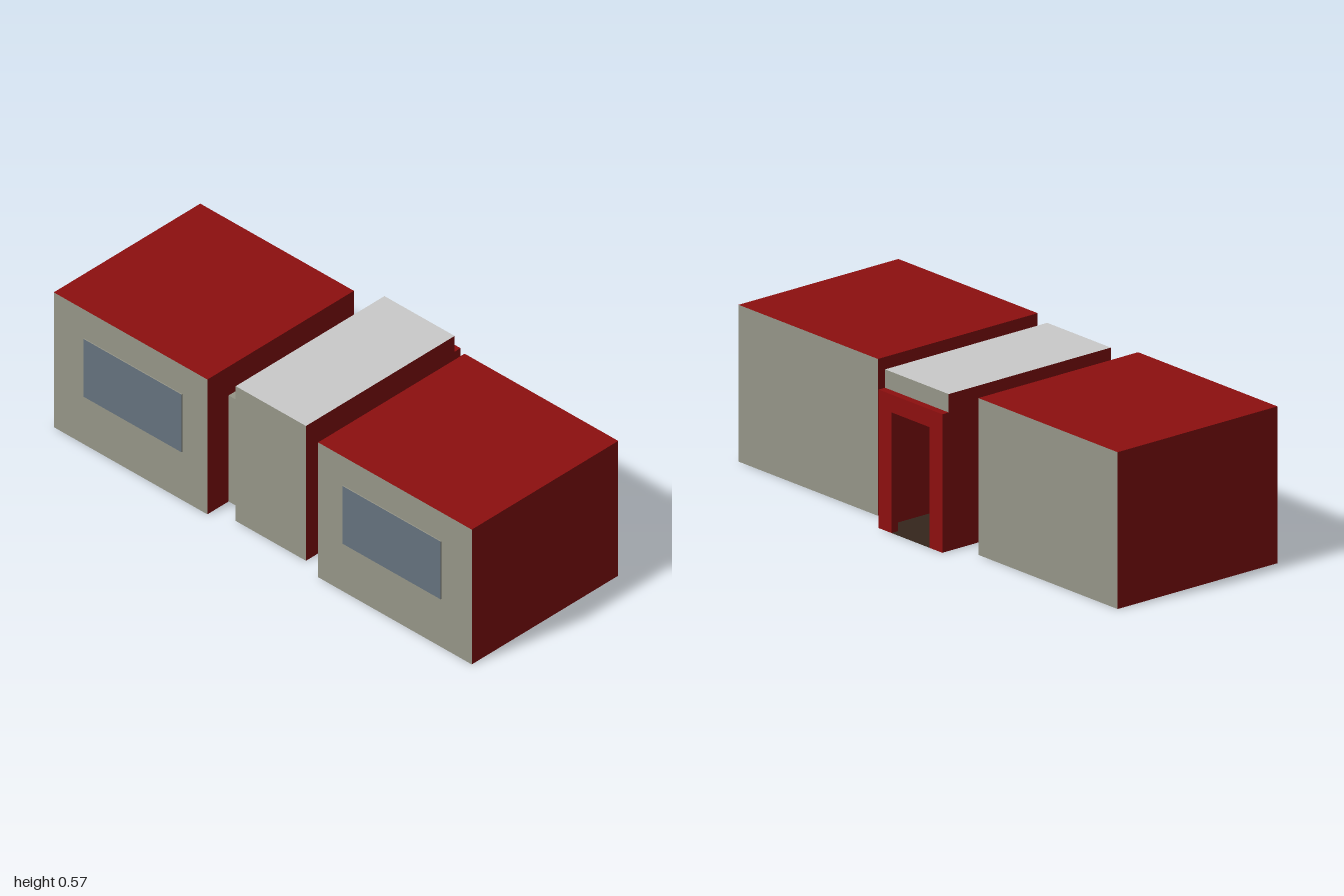
import * as THREE from 'three';

const mat = (color, side = THREE.FrontSide) => new THREE.MeshStandardMaterial({ color, side });
const red = mat(0x8d0f0f), stone = mat(0x969688), glass = mat(0x65727e), dark = mat(0x35261c);
const redThin = mat(0x8d0f0f, THREE.DoubleSide);
const stoneThin = mat(0x969688, THREE.DoubleSide);
const darkThin = mat(0x35261c, THREE.DoubleSide);
const roofGrey = mat(0xcccccc, THREE.DoubleSide);

// Box from its min and max corners; materials run +x, -x, +y, -y, +z, -z
function box(name, [x0, y0, z0], [x1, y1, z1], material) {
  const mesh = new THREE.Mesh(new THREE.BoxGeometry(x1 - x0, y1 - y0, z1 - z0), material);
  mesh.position.set((x0 + x1) / 2, (y0 + y1) / 2, (z0 + z1) / 2);
  mesh.name = name;
  return mesh;
}

// Thin panel, rotated to face along an axis
function panel(name, w, h, position, rotation, material) {
  const mesh = new THREE.Mesh(new THREE.PlaneGeometry(w, h), material);
  mesh.position.set(...position);
  mesh.rotation.set(...rotation);
  mesh.name = name;
  return mesh;
}

export function createModel() {
  const model = new THREE.Group();
  model.name = 'building';
  const H = 0.572, W = 0.168, zBack = -0.375, zFront = 0.36;
  const depth = zFront - zBack, zMid = (zFront + zBack) / 2;

  // Two wings, each with a window and a link to the hall
  for (const s of [1, -1]) {
    const span = (a, b) => (s > 0 ? [a, b] : [-b, -a]);
    const wing = new THREE.Group();
    wing.name = s > 0 ? 'leftWing' : 'rightWing';
    const [b0, b1] = span(0.265, 1);
    wing.add(box('wingBlock', [b0, 0, -0.324], [b1, H, 0.4], [red, red, red, dark, stone, stone]));
    const [w0, w1] = span(0.385, 0.855);
    wing.add(box('window', [w0, 0.205, 0.39], [w1, 0.45, 0.404], [stone, stone, stone, stone, glass, stone]));
    const [c0, c1] = span(W, 0.265);
    wing.add(box('link', [c0, 0, 0.09], [c1, 0.45, 0.295], [stone, stone, stone, dark, stone, stone]));
    model.add(wing);
  }

  // Hollow central hall, open at the back
  const hall = new THREE.Group();
  hall.name = 'hall';
  for (const s of [1, -1]) {
    hall.add(panel('hallSideWall', depth, H, [s * W, H / 2, zMid], [0, s * Math.PI / 2, 0], redThin));
  }
  hall.add(panel('hallFrontWall', 2 * W, H, [0, H / 2, zFront], [0, 0, 0], stoneThin));
  hall.add(panel('hallRoof', 2 * W, depth, [0, H, zMid], [-Math.PI / 2, 0, 0], roofGrey));
  hall.add(panel('hallFloor', 2 * W, depth, [0, 0, zMid], [-Math.PI / 2, 0, 0], darkThin));
  hall.add(panel('hallLintel', 2 * W, H - 0.505, [0, (H + 0.505) / 2, zBack], [0, Math.PI, 0], stoneThin));
  model.add(hall);

  // Door frame: an arch-free surround, open down to the ground
  const shape = new THREE.Shape();
  const d = 0.1, top = 0.44;
  [[-W, 0], [-d, 0], [-d, top], [d, top], [d, 0], [W, 0], [W, 0.505], [-W, 0.505]]
    .forEach(([x, y], i) => (i ? shape.lineTo(x, y) : shape.moveTo(x, y)));
  const frame = new THREE.Mesh(new THREE.ExtrudeGeometry(shape, { depth: 0.029, bevelEnabled: false }), red);
  frame.position.z = -0.404;
  frame.name = 'doorFrame';
  model.add(frame);
  // Threshold between the jambs
  model.add(panel('threshold', 2 * d, 0.029, [0, 0, -0.3895], [-Math.PI / 2, 0, 0], darkThin));
  return model;
}
